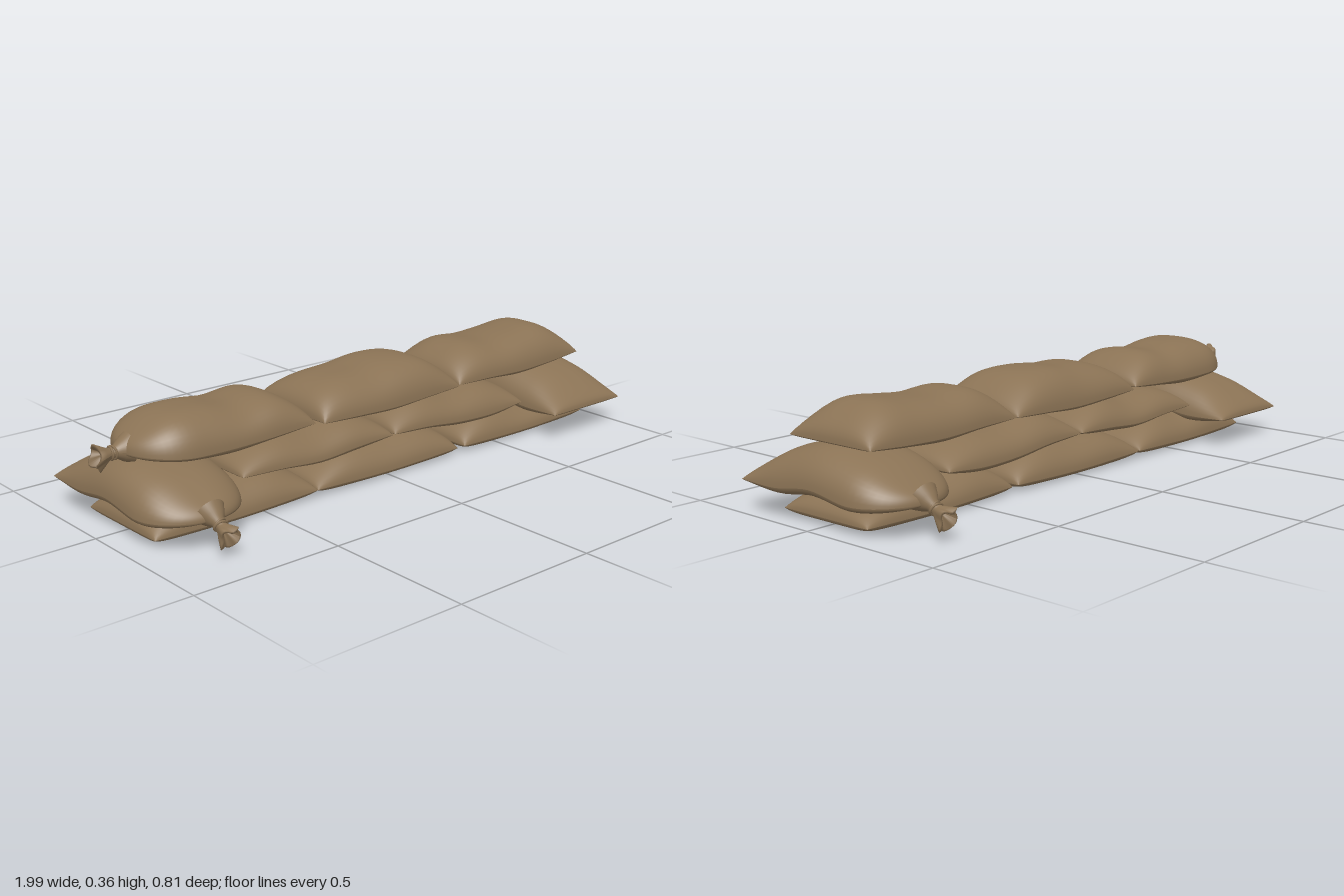
import * as THREE from 'three';
import { mergeGeometries } from 'three/addons/utils/BufferGeometryUtils.js';

const burlap = new THREE.MeshStandardMaterial({ color: 0x8b7355, side: THREE.DoubleSide });
burlap.name = 'brown burlap';

// Smooth height profile through evenly spaced values, u from -1 to 1
function profile(values) {
  const curve = new THREE.SplineCurve(values.map((y, i) => new THREE.Vector2(i, y)));
  return (u) => curve.getPoint((u + 1) / 2).y;
}

// One side of a pillow; the two sides meet in a crisp seam around the rim
function sheet({ length, width, seam, tied = false, seed = 0 }, heights, upper) {
  const NU = 36, NV = 24, pos = [], index = [];
  const seamAt = profile(seam), heightAt = profile(heights);
  for (let i = 0; i <= NU; i++) {
    const u = Math.sin((i / NU - 0.5) * Math.PI);
    // the tied end narrows to a neck, the sewn end stays square
    const s = tied ? Math.max(0, (-u - 0.4) / 0.6) : 0;
    const half = width / 2 * (0.975 + 0.025 * (1 - u * u)) * Math.max(0.12, Math.sqrt(1 - s ** 2.4));
    const endFall = Math.max(0, 1 - Math.abs(u) ** (upper ? 5 : 8)) ** 0.45;
    for (let j = 0; j <= NV; j++) {
      const v = Math.sin((j / NV - 0.5) * Math.PI);
      const sideFall = Math.max(0, 1 - Math.abs(v) ** (upper ? 2.8 : 7)) ** 0.5;
      const fall = endFall * sideFall;
      const lump = upper ? 0.004 * Math.sin(4 * u + 3 * v + seed) * fall * Math.abs(v) : 0;
      const base = seamAt(u);
      pos.push(u * length / 2, base + (heightAt(u) - base) * fall + lump, v * half);
      if (i < NU && j < NV) {
        const a = i * (NV + 1) + j, b = a + 1, c = a + NV + 1, d = c + 1;
        if (upper) index.push(a, b, c, b, d, c);
        else index.push(a, c, b, b, c, d);
      }
    }
  }
  const g = new THREE.BufferGeometry();
  g.setAttribute('position', new THREE.Float32BufferAttribute(pos, 3));
  g.setIndex(index);
  g.computeVertexNormals();
  return g;
}

// Gathered neck with a flared, ruffled mouth and two turns of cord, along +y
function tiedNeck() {
  const neck = new THREE.Group();
  neck.name = 'tiedNeck';
  const outline = [[0.048, -0.025], [0.034, 0], [0.021, 0.018], [0.016, 0.032], [0.02, 0.045],
    [0.03, 0.062], [0.043, 0.085], [0.034, 0.087], [0.012, 0.06], [0, 0.055]];
  const g = new THREE.LatheGeometry(outline.map(([r, y]) => new THREE.Vector2(r, y)), 32);
  const p = g.attributes.position;
  for (let i = 0; i < p.count; i++) {
    const x = p.getX(i), y = p.getY(i), z = p.getZ(i);
    const angle = Math.atan2(z, x);
    const flare = THREE.MathUtils.clamp((y - 0.035) / 0.05, 0, 1);
    const k = 1 + 0.14 * flare * Math.sin(5 * angle);
    p.setXYZ(i, x * k, y + 0.008 * flare * Math.cos(3 * angle), z * k * (1 - 0.25 * flare));
  }
  g.computeVertexNormals();
  const mouth = new THREE.Mesh(g, burlap);
  mouth.name = 'gatheredMouth';
  neck.add(mouth);
  for (const [y, tilt] of [[0.027, 0.15], [0.035, -0.12]]) {
    const cord = new THREE.Mesh(new THREE.TorusGeometry(0.02, 0.0035, 6, 24), burlap);
    cord.name = 'cord';
    cord.rotation.x = Math.PI / 2 + tilt;
    cord.position.y = y;
    neck.add(cord);
  }
  return neck;
}

function sandbag(name, spec) {
  const bag = new THREE.Group();
  bag.name = name;
  const body = new THREE.Mesh(
    mergeGeometries([sheet(spec, spec.top, true), sheet(spec, spec.bottom, false)]), burlap);
  body.name = 'sack';
  bag.add(body);
  if (spec.tied) {
    const neck = tiedNeck();
    neck.position.set(-spec.length / 2 + 0.005, spec.seam[0] + 0.003, 0);
    neck.rotation.z = Math.PI / 2 + spec.droop;
    bag.add(neck);
  }
  bag.position.set(spec.x, 0, spec.z || 0);
  bag.rotation.y = spec.turn || 0;
  return bag;
}

export function createModel() {
  const model = new THREE.Group();
  model.name = 'sandbagWall';

  // Bottom course
  [-0.61, 0, 0.635].forEach((x, i) => model.add(sandbag('bottomBag' + (i + 1), {
    x, length: 0.605, width: 0.36, seed: i, turn: [0.01, -0.01, 0.012][i],
    seam: [0.025, 0.02, 0.025], bottom: [0.002, 0, 0.002],
    top: [[0.1, 0.125, 0.11, 0.12, 0.09], [0.09, 0.115, 0.115, 0.12, 0.1], [0.1, 0.12, 0.1, 0.1, 0.09]][i],
  })));

  // Middle course, sagging over the joints
  model.add(sandbag('middleBagRight', {
    x: -0.297, length: 0.6, width: 0.37, seed: 1,
    seam: [0.14, 0.135, 0.125, 0.135, 0.14], bottom: [0.13, 0.125, 0.108, 0.115, 0.125],
    top: [0.205, 0.218, 0.205, 0.225, 0.2],
  }));
  model.add(sandbag('middleBagLeft', {
    x: 0.312, length: 0.6, width: 0.37, seed: 4,
    seam: [0.14, 0.135, 0.12, 0.115, 0.125], bottom: [0.128, 0.12, 0.1, 0.095, 0.11],
    top: [0.21, 0.23, 0.205, 0.21, 0.195],
  }));

  // Crosswise bags draped over both ends
  for (const side of [-1, 1]) {
    model.add(sandbag(side < 0 ? 'endBagRight' : 'endBagLeft', {
      x: side < 0 ? -0.788 : 0.817, length: 0.61, width: 0.35, seed: side,
      tied: true, droop: 0.48, turn: -side * Math.PI / 2,
      seam: [0.1, 0.098, 0.118, 0.098, 0.098], bottom: [0.085, 0.073, 0.09, 0.073, 0.085],
      top: [0.15, 0.207, 0.233, 0.207, 0.155],
    }));
  }

  // Top course
  model.add(sandbag('topBagRight', {
    x: -0.608, length: 0.6, width: 0.335, z: 0.005, seed: 2, tied: true, droop: 0.06,
    seam: [0.25, 0.238, 0.235, 0.238, 0.245], bottom: [0.235, 0.222, 0.212, 0.225, 0.235],
    top: [0.32, 0.35, 0.35, 0.335, 0.348, 0.325],
  }));
  model.add(sandbag('topBagMiddle', {
    x: 0.015, length: 0.595, width: 0.355, seed: 3, turn: 0.015,
    seam: [0.24, 0.235, 0.23, 0.235, 0.24], bottom: [0.23, 0.222, 0.215, 0.225, 0.23],
    top: [0.335, 0.34, 0.342, 0.355, 0.35, 0.32],
  }));
  model.add(sandbag('topBagLeft', {
    x: 0.622, length: 0.605, width: 0.345, z: -0.012, seed: 5, turn: 0.015,
    seam: [0.24, 0.238, 0.232, 0.236, 0.245], bottom: [0.232, 0.226, 0.214, 0.224, 0.235],
    top: [0.33, 0.346, 0.336, 0.345, 0.355, 0.33],
  }));
  return model;
}
